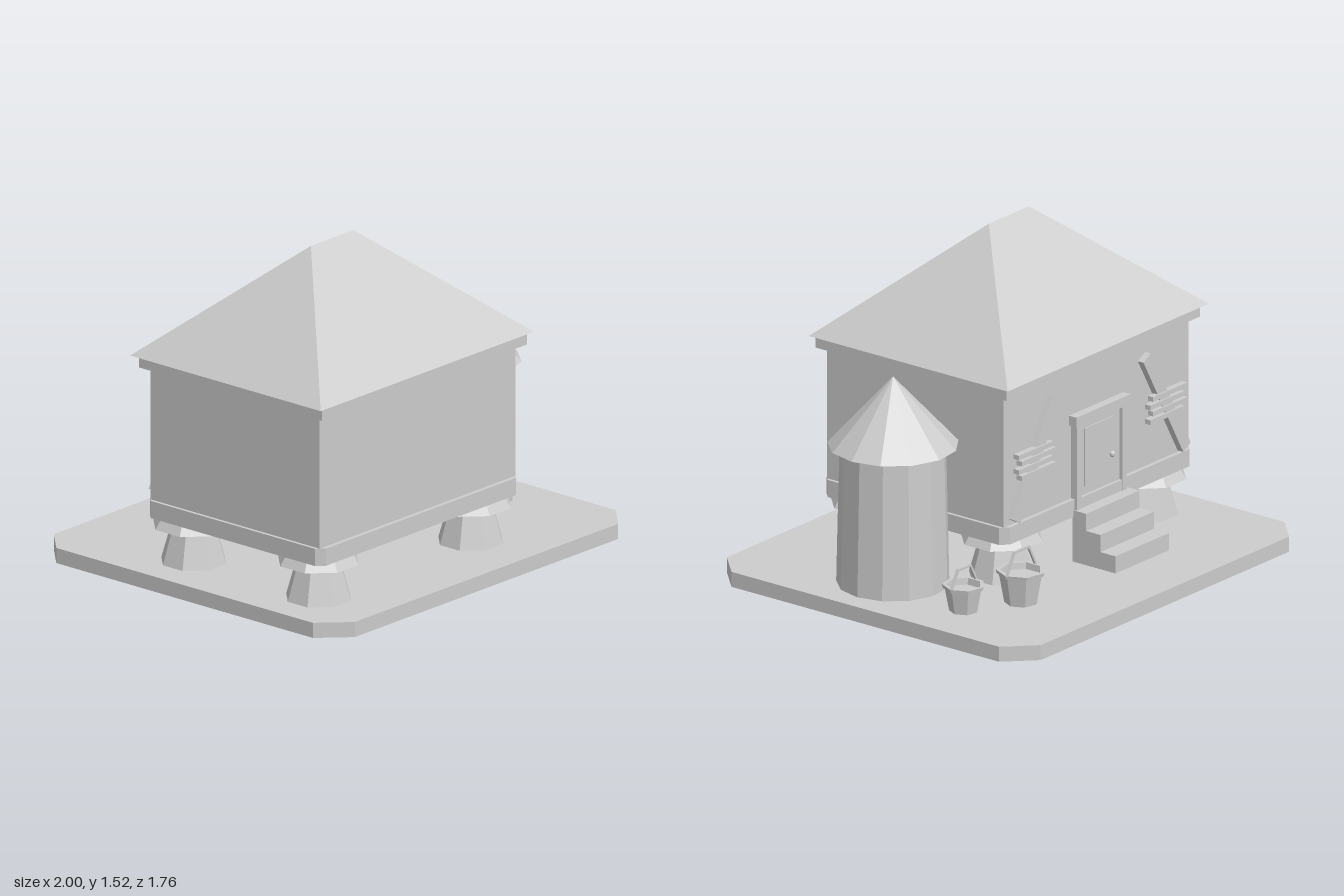
import * as THREE from 'three';

const stone = new THREE.MeshStandardMaterial({ color: 0xcccccc, flatShading: true, side: THREE.DoubleSide });
stone.name = 'pale grey';

export function createModel() {
  const model = new THREE.Group();

  const add = (name, geo, x = 0, y = 0, z = 0, parent = model) => {
    const mesh = new THREE.Mesh(geo, stone);
    mesh.name = name;
    mesh.position.set(x, y, z);
    parent.add(mesh);
    return mesh;
  };
  // box given by its limits on each axis
  const box = (name, x0, x1, y0, y1, z0, z1, parent) =>
    add(name, new THREE.BoxGeometry(x1 - x0, y1 - y0, z1 - z0), (x0 + x1) / 2, (y0 + y1) / 2, (z0 + z1) / 2, parent);
  const cyl = (name, rTop, rBottom, y0, y1, sides, x, z, turn, open, parent) =>
    add(name, new THREE.CylinderGeometry(rTop, rBottom, y1 - y0, sides, 1, open, turn), x, (y0 + y1) / 2, z, parent);
  // rectangle with cut corners, w and d being half sizes
  const cutRect = (w, d, c) => [
    [w, -d + c], [w, d - c], [w - c, d], [-w + c, d], [-w, d - c], [-w, -d + c], [-w + c, -d], [w - c, -d],
  ].map(([x, y]) => new THREE.Vector2(x, y));

  // ground slab: top sheet with a skirt, open underneath
  const rim = cutRect(1, 0.88, 0.13);
  add('groundTop', new THREE.ShapeGeometry(new THREE.Shape(rim)).rotateX(-Math.PI / 2), 0, 0.07, 0);
  const skirt = new THREE.PlaneGeometry(1, 1, 8, 1);
  const sp = skirt.attributes.position;
  for (let i = 0; i < sp.count; i++) {
    const p = rim[i % 9 % 8];
    sp.setXYZ(i, p.x, i < 9 ? 0.07 : 0, -p.y);
  }
  skirt.computeVertexNormals();
  add('groundSkirt', skirt);

  // house body, sill beam with cut corners, top band
  const cx = -0.2175, cz = 0.175;
  box('walls', -0.865, 0.43, 0.3, 1.0, -0.32, 0.67);
  add('sillBeam', new THREE.ExtrudeGeometry(new THREE.Shape(cutRect(0.6625, 0.515, 0.035)),
    { depth: 0.08, bevelEnabled: false }).rotateX(-Math.PI / 2), cx, 0.28, cz);
  box('topBand', -0.895, 0.46, 0.97, 1.026, -0.36, 0.71);

  // hipped roof: a box whose top is squeezed to a short ridge
  const roof = new THREE.BoxGeometry(1.41, 0.49, 1.115);
  const rp = roof.attributes.position;
  for (let i = 0; i < rp.count; i++) {
    if (rp.getY(i) > 0) {
      rp.setX(i, Math.sign(rp.getX(i)) * 0.14);
      rp.setZ(i, 0);
    }
  }
  roof.computeVertexNormals();
  add('roof', roof, -0.22, 1.272, 0.172);

  // footings with flared caps
  for (const x of [-0.725, 0.28]) {
    for (const z of [0.54, -0.19]) {
      cyl('footing', 0.1, 0.157, 0.045, 0.245, 8, x, z, Math.PI / 8, true);
      cyl('footingCap', 0.16, 0.187, 0.24, 0.283, 8, x, z, Math.PI / 8, false);
    }
  }

  // silo with conical roof
  cyl('silo', 0.235, 0.25, 0.062, 0.73, 13, 0.655, 0.12, Math.PI / 2, true);
  cyl('siloRoof', 0, 0.29, 0.715, 1.03, 13, 0.655, 0.12, Math.PI / 2, false);

  // steps: one stepped outline, extruded across, open underneath
  const outline = [[0.575, 0.02], [0.575, 0.15], [0.49, 0.15], [0.49, 0.23], [0.41, 0.23], [0.41, 0.31], [0.335, 0.31], [0.335, 0.02]];
  const cheek = new THREE.Shape(outline.map(([a, b]) => new THREE.Vector2(a, b)));
  for (const x of [-0.41, -0.035]) add('stepCheek', new THREE.ShapeGeometry(cheek).rotateY(Math.PI / 2), x, 0, 0);
  const treads = new THREE.PlaneGeometry(1, 1, 7, 1).toNonIndexed();
  const src = new THREE.PlaneGeometry(1, 1, 7, 1);
  const tp = treads.attributes.position;
  for (let i = 0; i < tp.count; i++) {
    const k = src.index.getX(i);
    const [a, b] = outline[k % 8];
    tp.setXYZ(i, k < 8 ? -0.035 : -0.41, b, -a);
  }
  treads.computeVertexNormals();
  add('steps', treads);

  // door with frame, inset panel and knob
  const door = new THREE.Group();
  door.name = 'door';
  model.add(door);
  box('doorLeaf', cx - 0.15, cx + 0.15, 0.31, 0.72, -0.335, -0.31, door);
  box('doorPanel', cx - 0.105, cx + 0.105, 0.4, 0.67, -0.341, -0.33, door);
  box('lintel', cx - 0.19, cx + 0.19, 0.705, 0.75, -0.362, -0.31, door);
  box('threshold', cx - 0.17, cx + 0.17, 0.31, 0.36, -0.35, -0.31, door);
  for (const s of [-1, 1]) {
    const x = cx + s * 0.16;
    box('doorPost', x - 0.016, x + 0.016, 0.31, 0.71, -0.353, -0.31, door);
  }
  add('knob', new THREE.SphereGeometry(0.014, 8, 6), cx - 0.08, 0.5, -0.347, door);

  // leaning planks crossed by four short slats, one set each side of the door
  for (const s of [-1, 1]) {
    const set = new THREE.Group();
    set.name = s > 0 ? 'leftSlats' : 'rightSlats';
    set.position.x = cx + s * 0.4575;
    model.add(set);
    const plank = box('plank', -0.03, 0.03, 0.345, 0.915, -0.352, -0.315, set);
    plank.rotation.z = s * 0.51;
    for (let i = 0; i < 4; i++) {
      const x = (i % 2 ? 0.012 : -0.008) * s, y = 0.575 + i * 0.034;
      box('slat', x - 0.12, x + 0.12, y - 0.011, y + 0.011, -0.36, -0.33, set);
    }
  }

  // buckets with a rim and an arched handle
  for (const [x, z, r, top, handle] of [[0.5, -0.475, 0.112, 0.222, 0.32], [0.74, -0.345, 0.096, 0.193, 0.275]]) {
    const bucket = new THREE.Group();
    bucket.name = 'bucket';
    bucket.position.set(x, 0, z);
    model.add(bucket);
    cyl('bucketBody', r * 0.9, r * 0.66, 0.065, top - 0.006, 7, 0, 0, Math.PI / 2, true, bucket);
    cyl('bucketRim', r, r * 0.97, top - 0.016, top, 7, 0, 0, Math.PI / 2, true, bucket);
    add('bucketLip', new THREE.RingGeometry(r * 0.82, r, 7).rotateX(-Math.PI / 2), 0, top, 0, bucket);
    cyl('bucketInside', r * 0.82, r * 0.66, 0.075, top, 7, 0, 0, Math.PI / 2, true, bucket);
    add('bucketFill', new THREE.CircleGeometry(r * 0.8, 7).rotateX(-Math.PI / 2), 0, top - 0.03, 0, bucket);
    const a = r * 0.88, b = r * 0.45;
    const path = [[-a, top], [-b, handle - 0.006], [b, handle - 0.006], [a, top]];
    for (let i = 0; i < 3; i++) {
      const [x0, y0] = path[i], [x1, y1] = path[i + 1];
      const bar = add('handleBar', new THREE.BoxGeometry(Math.hypot(x1 - x0, y1 - y0) + 0.008, 0.011, 0.011),
        (x0 + x1) / 2, (y0 + y1) / 2, 0, bucket);
      bar.rotation.z = Math.atan2(y1 - y0, x1 - x0);
    }
  }

  return model;
}
